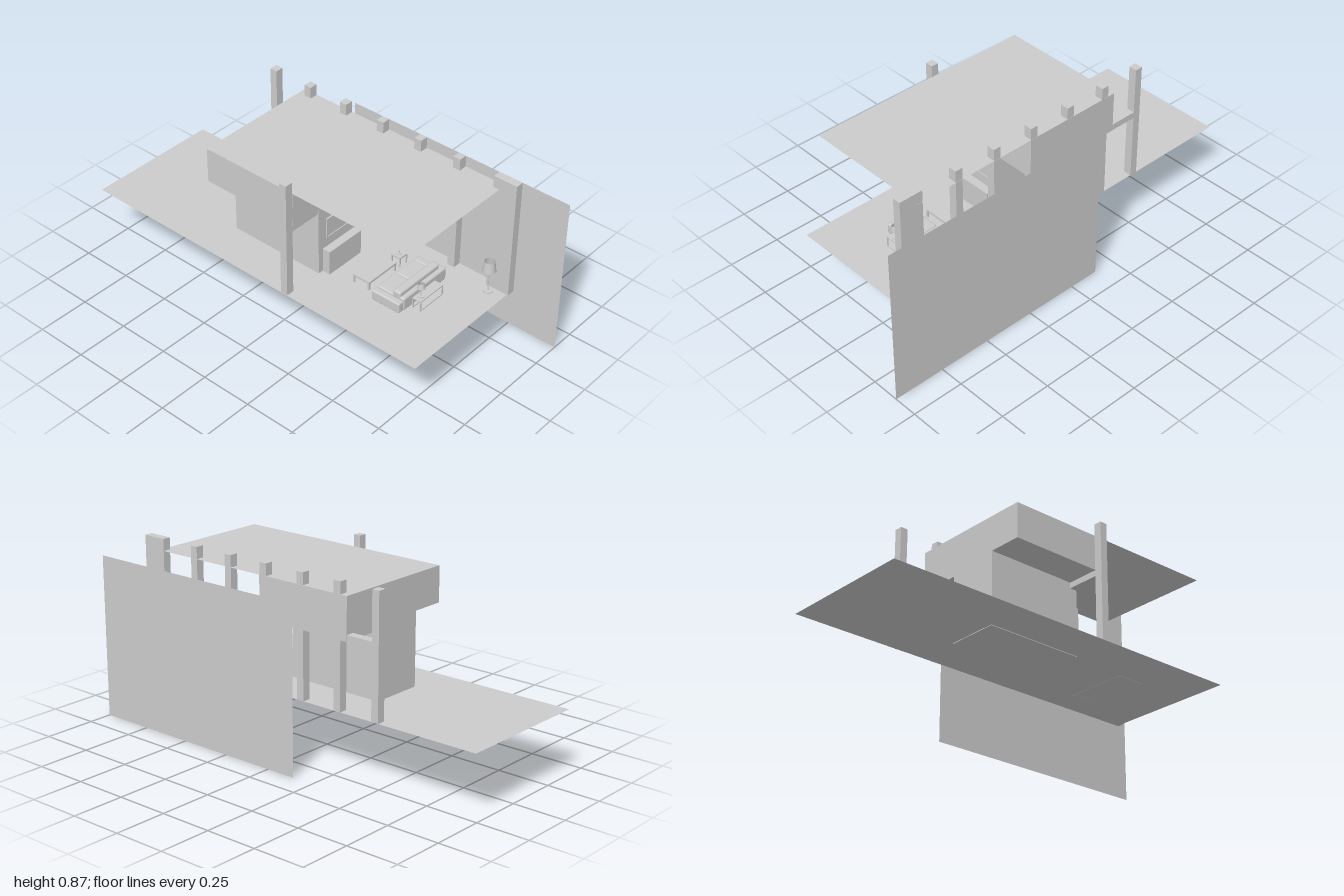
import * as THREE from 'three';
import { RoundedBoxGeometry } from 'three/addons/geometries/RoundedBoxGeometry.js';

const mat = new THREE.MeshStandardMaterial({ color: 0xcccccc });
const sheetMat = new THREE.MeshStandardMaterial({ color: 0xcccccc, side: THREE.DoubleSide });
const FLOOR = 0.3;

function add(parent, name, geometry, x = 0, y = 0, z = 0, material = mat) {
  const mesh = new THREE.Mesh(geometry, material);
  mesh.name = name;
  mesh.position.set(x, y, z);
  parent.add(mesh);
  return mesh;
}

// Box from its limits on each axis, rounded if a radius is given
function box(parent, name, [x0, x1], [y0, y1], [z0, z1], radius = 0) {
  const size = [x1 - x0, y1 - y0, z1 - z0];
  const geo = radius ? new RoundedBoxGeometry(...size, 3, radius) : new THREE.BoxGeometry(...size);
  return add(parent, name, geo, (x0 + x1) / 2, (y0 + y1) / 2, (z0 + z1) / 2);
}

function group(parent, name) {
  const g = new THREE.Group();
  g.name = name;
  parent.add(g);
  return g;
}

// Lamp with disc foot, thin stem and open tapered shade
function lamp(parent, name, x, y, z, height, radius, shadeHeight, footRadius) {
  const g = group(parent, name);
  g.position.set(x, y, z);
  add(g, 'lampFoot', new THREE.CylinderGeometry(footRadius, footRadius, 0.004, 24), 0, 0.002, 0);
  add(g, 'lampStem', new THREE.CylinderGeometry(0.002, 0.002, height - 0.01, 10), 0, (height - 0.01) / 2, 0);
  add(g, 'lampShade', new THREE.CylinderGeometry(radius * 0.76, radius, shadeHeight, 28, 1, true),
    0, height - shadeHeight / 2, 0, sheetMat);
}

// Table with a thin top and four legs
function table(parent, name, xs, top, zs, thickness, leg) {
  const g = group(parent, name);
  box(g, 'tableTop', xs, [top - thickness, top], zs);
  for (const x of [xs[0], xs[1] - leg])
    for (const z of [zs[0], zs[1] - leg])
      box(g, 'tableLeg', [x, x + leg], [FLOOR, top - thickness], [z, z + leg]);
  return g;
}

export function createModel() {
  const model = new THREE.Group();
  model.name = 'pavilion';

  // Ground, roof and free-standing side wall are single sheets
  const ground = add(model, 'ground', new THREE.PlaneGeometry(0.655, 1.835), -0.058, FLOOR, -0.083, sheetMat);
  ground.rotation.x = -Math.PI / 2;
  const roof = add(model, 'roof', new THREE.PlaneGeometry(0.617, 0.61), -0.037, 0.81, 0.45, sheetMat);
  roof.rotation.x = -Math.PI / 2;
  const wall = add(model, 'sideWall', new THREE.PlaneGeometry(1.145, 0.765), 0.386, 0.3825, 0.4275, sheetMat);
  wall.rotation.y = Math.PI / 2;

  // T-shaped block: overhanging upper part on a narrow core
  const outline = [[-0.185, 0.297], [0.065, 0.297], [0.065, 0.615], [0.271, 0.615],
    [0.271, 0.81], [-0.345, 0.81], [-0.345, 0.643], [-0.185, 0.643]];
  const tShape = new THREE.Shape(outline.map(([x, y]) => new THREE.Vector2(x, y)));
  add(model, 'coreBlock', new THREE.ExtrudeGeometry(tShape, { depth: 0.485, bevelEnabled: false }), 0, 0, -0.34);

  // Posts along the right edge, a deep one at the front, one on the left
  for (const z of [-0.49, -0.287, -0.083, 0.125, 0.33, 0.535])
    box(model, 'post', [0.231, 0.27], [FLOOR, 0.865], [z - 0.018, z + 0.018]);
  box(model, 'frontPost', [0.231, 0.27], [FLOOR, 0.865], [0.725, 0.84]);
  box(model, 'leftPost', [-0.383, -0.345], [FLOOR, 0.865], [0.107, 0.143]);

  // Tie beams from the posts to the block
  box(model, 'rearBeam', [0.231, 0.27], [0.615, 0.645], [-0.475, -0.338]);
  box(model, 'leftBeam', [-0.346, -0.184], [0.615, 0.643], [0.109, 0.141]);

  // Framed panel on the front of the core
  const panel = group(model, 'wallPanel');
  box(panel, 'panel', [-0.135, 0.017], [0.47, 0.562], [0.143, 0.148]);
  for (const y of [0.467, 0.561]) box(panel, 'frameRail', [-0.14, 0.021], [y, y + 0.006], [0.143, 0.152]);
  for (const x of [-0.14, 0.016]) box(panel, 'frameStile', [x, x + 0.005], [0.467, 0.567], [0.143, 0.152]);

  // Low cabinet under the panel
  box(model, 'cabinet', [-0.16, 0.045], [FLOOR, 0.42], [0.146, 0.185]);

  // Sofa facing the panel
  const sofa = group(model, 'sofa');
  box(sofa, 'sofaBase', [-0.14, 0.12], [0.297, 0.333], [0.42, 0.56], 0.008);
  box(sofa, 'sofaBack', [-0.14, 0.125], [0.32, 0.385], [0.515, 0.555], 0.01);
  box(sofa, 'sofaRear', [-0.138, 0.148], [0.297, 0.363], [0.535, 0.575], 0.01);
  for (const x of [-0.165, 0.112]) box(sofa, 'sofaArm', [x, x + 0.034], [0.296, 0.348], [0.42, 0.57], 0.008);
  for (const x of [-0.131, -0.01]) box(sofa, 'seatCushion', [x, x + 0.12], [0.331, 0.352], [0.425, 0.52], 0.008);

  // Coffee table, open console behind the sofa and side table
  table(model, 'coffeeTable', [-0.13, 0.05], 0.342, [0.29, 0.38], 0.01, 0.008);
  const consoleTable = table(model, 'consoleTable', [-0.095, 0.055], 0.352, [0.585, 0.63], 0.005, 0.005);
  for (const z of [0.585, 0.625])
    box(consoleTable, 'consoleRail', [-0.095, 0.055], [FLOOR, FLOOR + 0.005], [z, z + 0.005]);
  table(model, 'sideTable', [0.075, 0.125], 0.35, [0.33, 0.38], 0.008, 0.006);

  // Lamps
  lamp(model, 'consoleLamp', -0.065, 0.352, 0.607, 0.066, 0.018, 0.021, 0.014);
  lamp(model, 'sideLamp', 0.1, 0.35, 0.355, 0.068, 0.018, 0.021, 0.012);
  lamp(model, 'floorLamp', 0.201, FLOOR, 0.757, 0.16, 0.03, 0.051, 0.022);

  return model;
}
